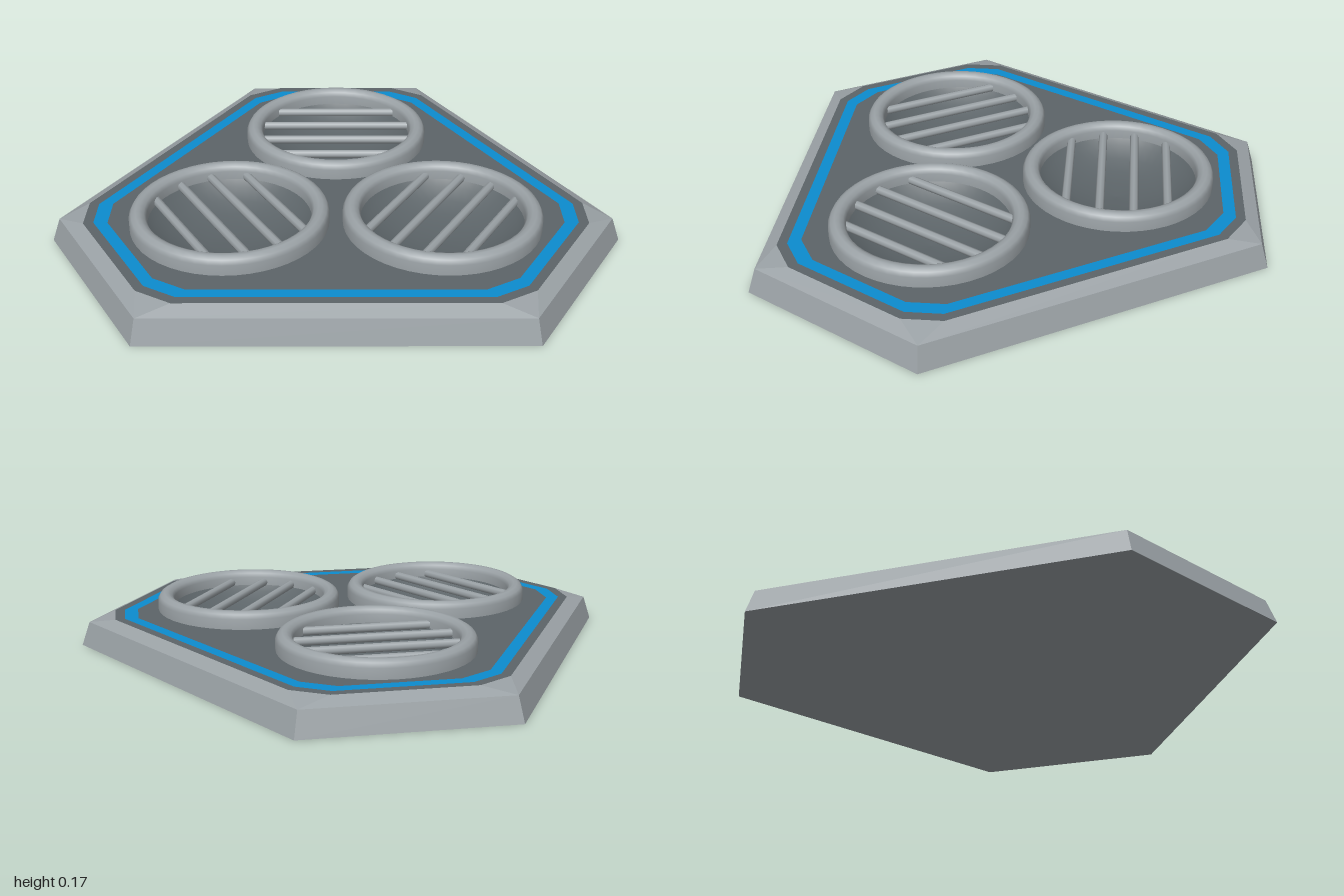
import * as THREE from 'three';

const rimGrey = new THREE.MeshStandardMaterial({ color: 0x9aa1a5 });
rimGrey.name = 'light grey';
const panelGrey = new THREE.MeshStandardMaterial({ color: 0x5c6468 });
panelGrey.name = 'dark grey';
const stripeBlue = new THREE.MeshStandardMaterial({ color: 0x0c8ccf });
stripeBlue.name = 'blue';

const TOP = 0.11;
const CENTRE_Z = 0.081;
const OUTLINE = [[-0.36, -0.866], [0.36, -0.866], [1, 0.243], [0.64, 0.866], [-0.64, 0.866], [-1, 0.243]];

function mesh(name, geometry, material) {
  const m = new THREE.Mesh(geometry, material);
  m.name = name;
  return m;
}

// Outline moved inwards; every corner is 120 degrees
function hexagon(inset) {
  return OUTLINE.map(([x, z], i) => {
    const a = (-120 + 60 * i) * Math.PI / 180;
    const d = inset * 2 / Math.sqrt(3);
    return [x - d * Math.cos(a), z - d * Math.sin(a)];
  });
}

// Hexagon with each corner cut off at distance t along both edges
function cutHexagon(inset, t) {
  const h = hexagon(inset);
  const toward = (p, q) => {
    const k = t / Math.hypot(q[0] - p[0], q[1] - p[1]);
    return [p[0] + (q[0] - p[0]) * k, p[1] + (q[1] - p[1]) * k];
  };
  return h.flatMap((p, i) => [toward(p, h[(i + 5) % 6]), toward(p, h[(i + 1) % 6])]);
}

// Sloped walls, bevel with corner triangles, and underside
function baseGeometry() {
  const at = (ring, y) => ring.map(([x, z]) => [x, y, z]);
  const low = at(hexagon(0), 0);
  const mid = at(hexagon(0.026), 0.087);
  const top = at(cutHexagon(0.075, 0.08), TOP);
  const pos = [];
  const tri = (a, b, c) => pos.push(...a, ...b, ...c);
  const quad = (a, b, c, d) => { tri(a, b, c); tri(a, c, d); };
  for (let i = 0; i < 6; i++) {
    const j = (i + 1) % 6;
    quad(low[j], low[i], mid[i], mid[j]);
    quad(mid[j], mid[i], top[2 * i + 1], top[2 * j]);
    tri(mid[i], top[2 * i], top[2 * i + 1]);
    tri([0, 0, CENTRE_Z], low[i], low[j]);
  }
  const g = new THREE.BufferGeometry();
  g.setAttribute('position', new THREE.Float32BufferAttribute(pos, 3));
  g.computeVertexNormals();
  return g;
}

// Flat horizontal face with openings
function flatFace(outer, holes) {
  const toPoints = (ring) => ring.map(([x, z]) => new THREE.Vector2(x, -z));
  const shape = new THREE.Shape(toPoints(outer));
  shape.holes = holes.map((h) => new THREE.Path(toPoints(h)));
  return new THREE.ShapeGeometry(shape).rotateX(-Math.PI / 2).translate(0, TOP, 0);
}

function lathe(points) {
  return new THREE.LatheGeometry(points.map(([r, y]) => new THREE.Vector2(r, y)), 48);
}

// Round vent: raised ring, hollow bowl and four bars
function vent() {
  const g = new THREE.Group();
  g.name = 'vent';
  g.add(mesh('ventRing', lathe([[0.345, 0.1], [0.345, 0.148], [0.336, 0.163], [0.321, 0.172],
    [0.307, 0.172], [0.292, 0.163], [0.284, 0.148], [0.284, 0.11]]), rimGrey));
  g.add(mesh('ventBowl', lathe([[0.286, 0.118], [0.26, 0.095], [0.21, 0.067], [0.15, 0.046],
    [0.08, 0.034], [0, 0.03]]), panelGrey));
  for (let i = 0; i < 4; i++) {
    const z = (i - 1.5) * 0.119;
    const length = 2 * Math.sqrt(0.29 ** 2 - z * z);
    const bar = mesh('ventBar', new THREE.CylinderGeometry(0.016, 0.016, length, 8), rimGrey);
    bar.rotation.z = Math.PI / 2;
    bar.position.set(0, 0.128, z);
    g.add(bar);
  }
  return g;
}

export function createModel() {
  const model = new THREE.Group();
  model.name = 'ventPlatform';
  model.add(mesh('base', baseGeometry(), rimGrey));

  // Three vents spaced evenly around the centre
  const holes = [];
  for (let k = 0; k < 3; k++) {
    const turn = k * Math.PI * 2 / 3;
    const x = -0.424 * Math.sin(turn);
    const z = CENTRE_Z - 0.424 * Math.cos(turn);
    const v = vent();
    v.position.set(x, 0, z);
    v.rotation.y = turn;
    model.add(v);
    holes.push(Array.from({ length: 40 }, (_, i) => {
      const a = i * Math.PI / 20;
      return [x + 0.31 * Math.cos(a), z + 0.31 * Math.sin(a)];
    }));
  }

  // Top panel split by the blue stripe
  const edge = cutHexagon(0.075, 0.08);
  const stripeOuter = cutHexagon(0.108, 0.073);
  const stripeInner = cutHexagon(0.15, 0.075);
  model.add(mesh('panelBorder', flatFace(edge, [stripeOuter]), panelGrey));
  model.add(mesh('stripe', flatFace(stripeOuter, [stripeInner]), stripeBlue));
  model.add(mesh('panel', flatFace(stripeInner, holes), panelGrey));
  return model;
}
